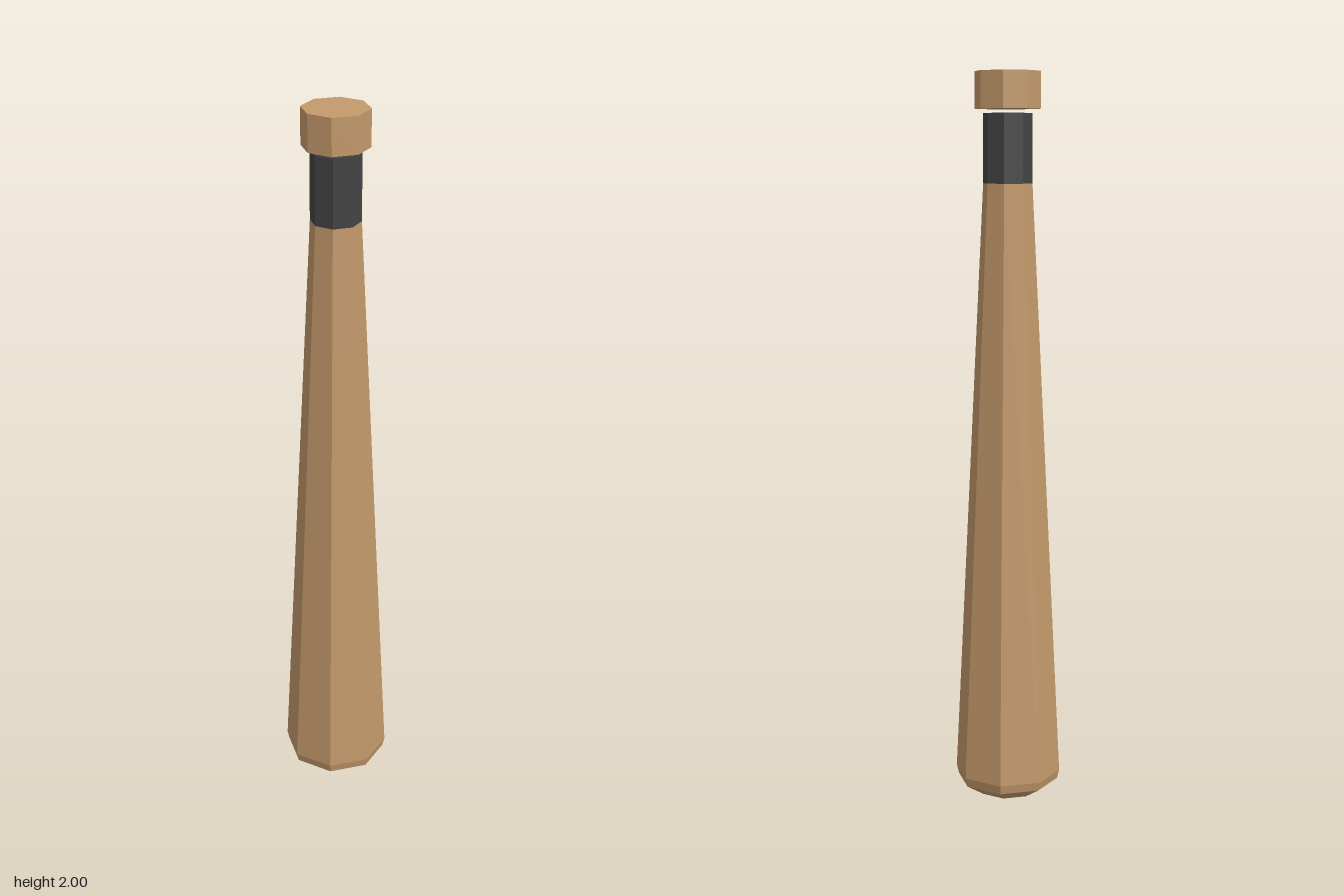
import * as THREE from 'three';

const SIDES = 8;

export function createModel() {
  const wood = new THREE.MeshStandardMaterial({ color: 0xc49a6c, flatShading: true });
  wood.name = 'wood';
  const wrap = new THREE.MeshStandardMaterial({ color: 0x444444, flatShading: true });
  wrap.name = 'dark grip wrap';

  const model = new THREE.Group();
  model.name = 'bat';

  // Turned octagonal part; the profile runs from bottom to top as [radius, y]
  const turned = (name, material, profile) => {
    const points = profile.map(([r, y]) => new THREE.Vector2(r, y));
    const mesh = new THREE.Mesh(new THREE.LatheGeometry(points, SIDES), material);
    mesh.name = name;
    model.add(mesh);
  };

  // Rounded striking end with a narrow bevel band
  turned('roundedEnd', wood, [[0, 0.003], [0.085, 0.02], [0.14, 0.055], [0.146, 0.08]]);

  // Long tapered barrel
  turned('barrel', wood, [[0.146, 0.08], [0.066, 1.71]]);

  // Wrapped grip, closed at the top below the knob
  turned('grip', wrap, [[0.066, 1.71], [0.066, 1.892], [0, 1.892]]);

  // Separate end knob, with a slim gap above the grip
  turned('knob', wood, [[0, 1.903], [0.088, 1.903], [0.088, 2], [0, 2]]);

  return model;
}
